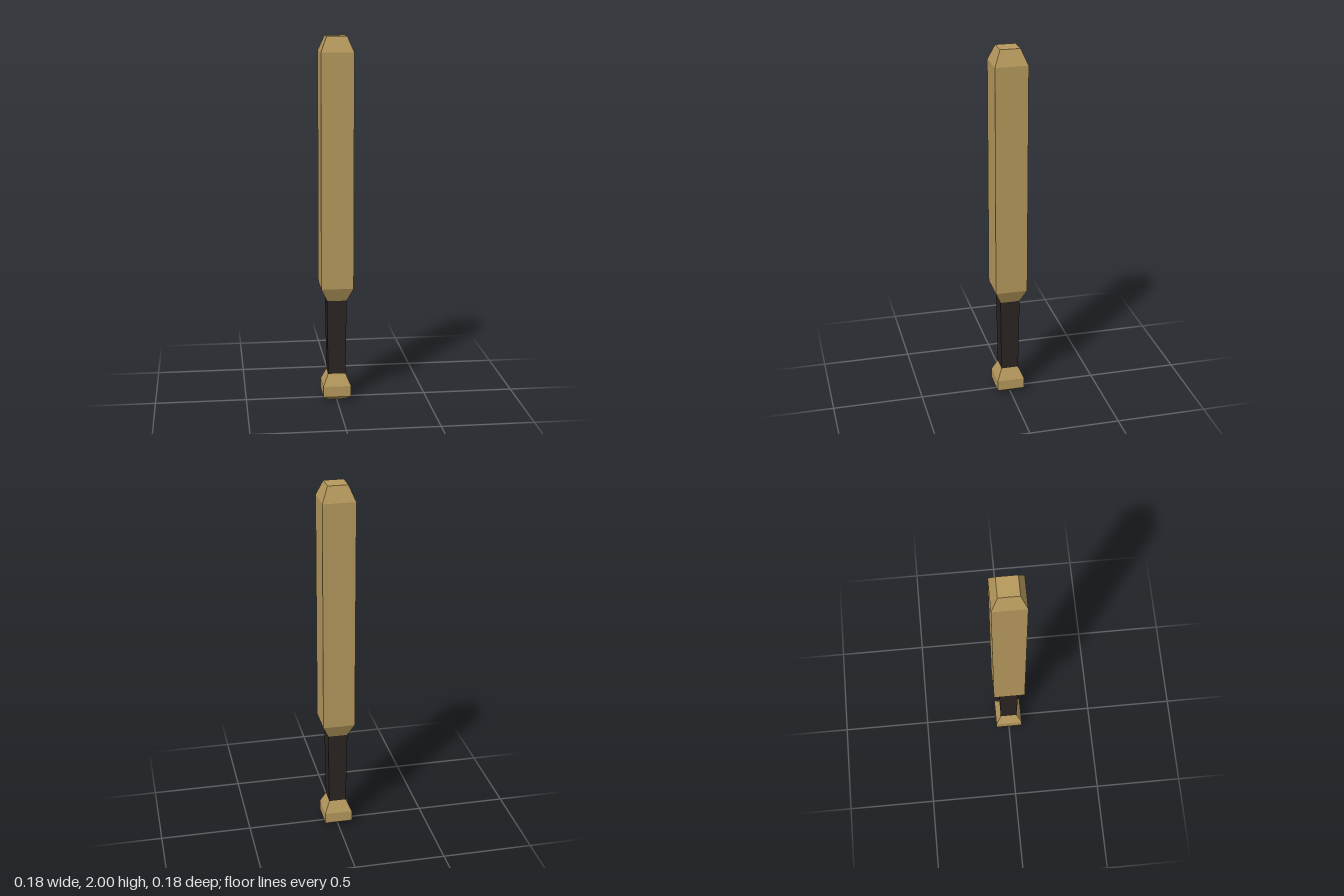
import * as THREE from 'three';

// Square-section solid: rows of [half width, height] from bottom to top
function squareSolid(name, color, rows) {
  const points = rows.map(([half, y]) => new THREE.Vector2(half * Math.SQRT2, y));
  const geometry = new THREE.LatheGeometry(points, 4, Math.PI / 4);
  const material = new THREE.MeshStandardMaterial({ color, flatShading: true });
  const mesh = new THREE.Mesh(geometry, material);
  mesh.name = name;
  return mesh;
}

export function createModel() {
  const wood = 0xb5985c;
  const wrap = 0x2b2422;
  const bat = new THREE.Group();
  bat.name = 'bat';

  // Flared knob at the foot of the handle
  bat.add(squareSolid('knob', wood, [
    [0, 0], [0.045, 0], [0.077, 0.025], [0.077, 0.085], [0.048, 0.15], [0, 0.15],
  ]));

  // Dark grip, widening slightly towards the barrel
  bat.add(squareSolid('grip', wrap, [[0.048, 0.15], [0.054, 0.57]]));

  // Long barrel with bevelled ends
  bat.add(squareSolid('barrel', wood, [
    [0, 0.57], [0.054, 0.57], [0.088, 0.645], [0.088, 1.917], [0.054, 2], [0, 2],
  ]));

  return bat;
}
